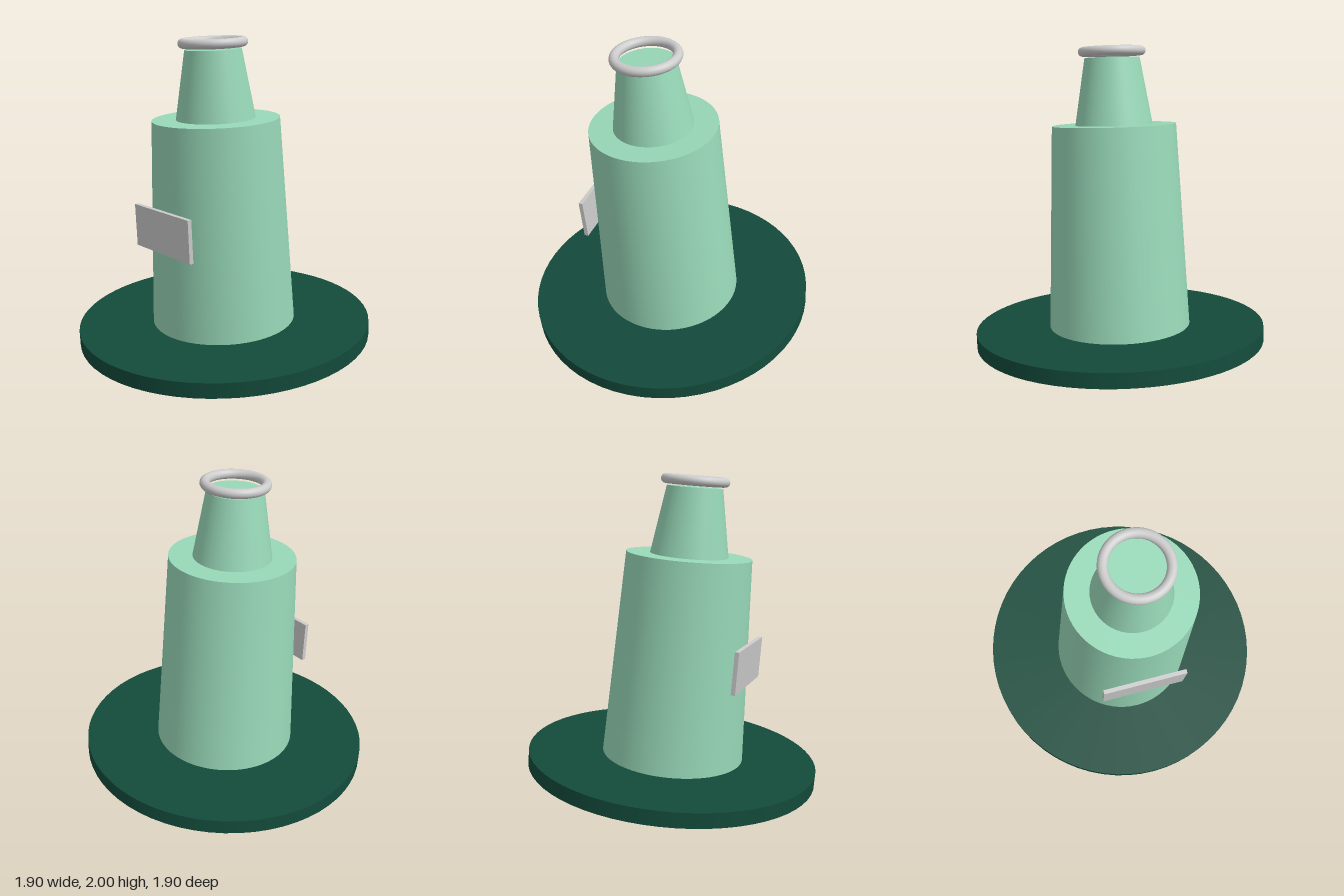
import * as THREE from 'three';

const SEGMENTS = 64;
const material = (color) => new THREE.MeshStandardMaterial({ color });

export function createModel() {
  const model = new THREE.Group();
  model.name = 'tiltedBottle';

  // Everything leans towards the front with the base
  const tilted = new THREE.Group();
  tilted.name = 'tiltedAssembly';
  tilted.position.set(0, 0.078, -0.001);
  tilted.rotation.x = 0.08;
  model.add(tilted);

  const mint = material(0x98d8b8);
  const darkGreen = material(0x134b3b);
  const grey = material(0xcccccc);

  const add = (name, geometry, mat) => {
    const mesh = new THREE.Mesh(geometry, mat);
    mesh.name = name;
    tilted.add(mesh);
    return mesh;
  };

  // Tapered round section between two heights
  const section = (name, topRadius, bottomRadius, y0, y1, mat) => {
    const geometry = new THREE.CylinderGeometry(topRadius, bottomRadius, y1 - y0, SEGMENTS);
    add(name, geometry, mat).position.y = (y0 + y1) / 2;
  };

  section('base', 0.95, 0.95, 0, 0.094, darkGreen);
  section('body', 0.402, 0.466, 0.09, 1.42, mint);
  section('neck', 0.177, 0.251, 1.415, 1.847, mint);

  // Ring floating just above the neck
  const ring = add('mouthRing', new THREE.TorusGeometry(0.187, 0.03, 20, SEGMENTS), grey);
  ring.rotation.x = Math.PI / 2;
  ring.position.y = 1.887;

  // Flat plate set at an angle against the front
  const plate = add('labelPlate', new THREE.BoxGeometry(0.55, 0.27, 0.027), grey);
  plate.position.set(-0.17, 0.769, 0.416);
  plate.rotation.y = -0.39;

  return model;
}
